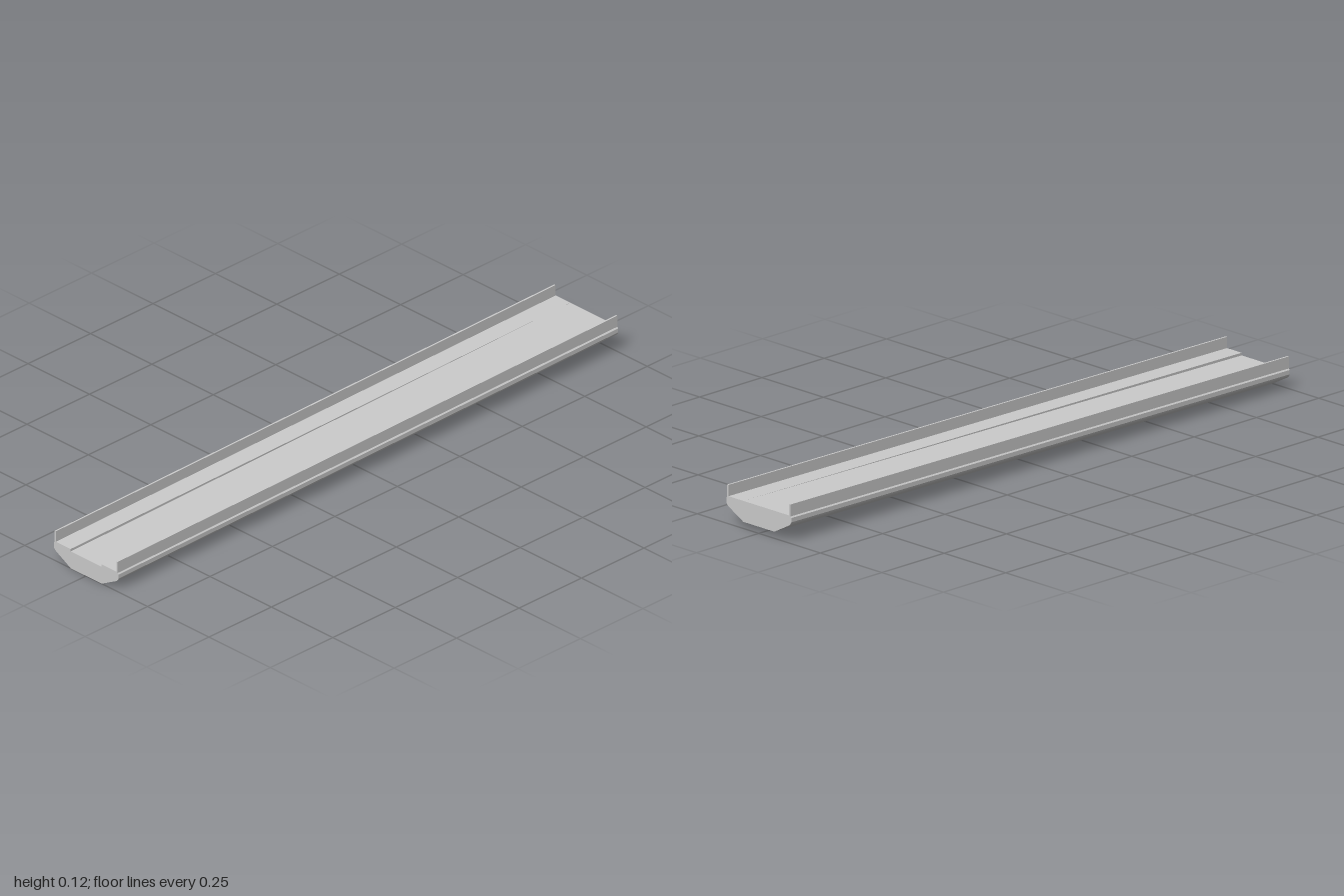
import * as THREE from 'three';

const RISE = 0.02; // the whole span climbs this much from front to back
const material = new THREE.MeshStandardMaterial({ color: 0xcccccc });

// Extrude a front profile along z from -1 to 1, then slope it upwards to the back
function slopedSpan(name, points, groove) {
  const shape = new THREE.Shape(points.map(([x, y]) => new THREE.Vector2(x, y)));
  const geometry = new THREE.ExtrudeGeometry(shape, { depth: 2, bevelEnabled: false });
  geometry.translate(0, 0, -1);
  const pos = geometry.attributes.position;
  for (let i = 0; i < pos.count; i++) {
    const back = (1 - pos.getZ(i)) / 2;
    let y = pos.getY(i);
    // The channel floor runs out level with the deck at the back
    if (groove && Math.abs(y - groove.floor) < 1e-5) y += (groove.deck - groove.floor) * back;
    pos.setY(i, y + RISE * back);
  }
  geometry.computeVertexNormals();
  const mesh = new THREE.Mesh(geometry, material);
  mesh.name = name;
  return mesh;
}

export function createModel() {
  const group = new THREE.Group();
  group.name = 'bridgeSpan';

  // Girder with chamfered underside, side lips and a tapering central channel
  const deck = 0.063, floor = 0.055;
  const half = [
    [0.063, 0], [0.124, 0.033], [0.129, 0.038], [0.132, 0.044],
    [0.132, 0.057], [0.128, 0.061], [0.128, deck], [0.063, deck], [0.063, floor],
  ];
  const mirrored = half.map(([x, y]) => [-x, y]).reverse();
  group.add(slopedSpan('girder', [...half, ...mirrored], { deck, floor }));

  // Thin parapets along both edges
  for (const side of [1, -1]) {
    const a = side * 0.1255 - 0.0027, b = side * 0.1255 + 0.0027;
    group.add(slopedSpan(side > 0 ? 'leftParapet' : 'rightParapet',
      [[a, 0.06], [b, 0.06], [b, 0.097], [a, 0.097]]));
  }
  return group;
}
